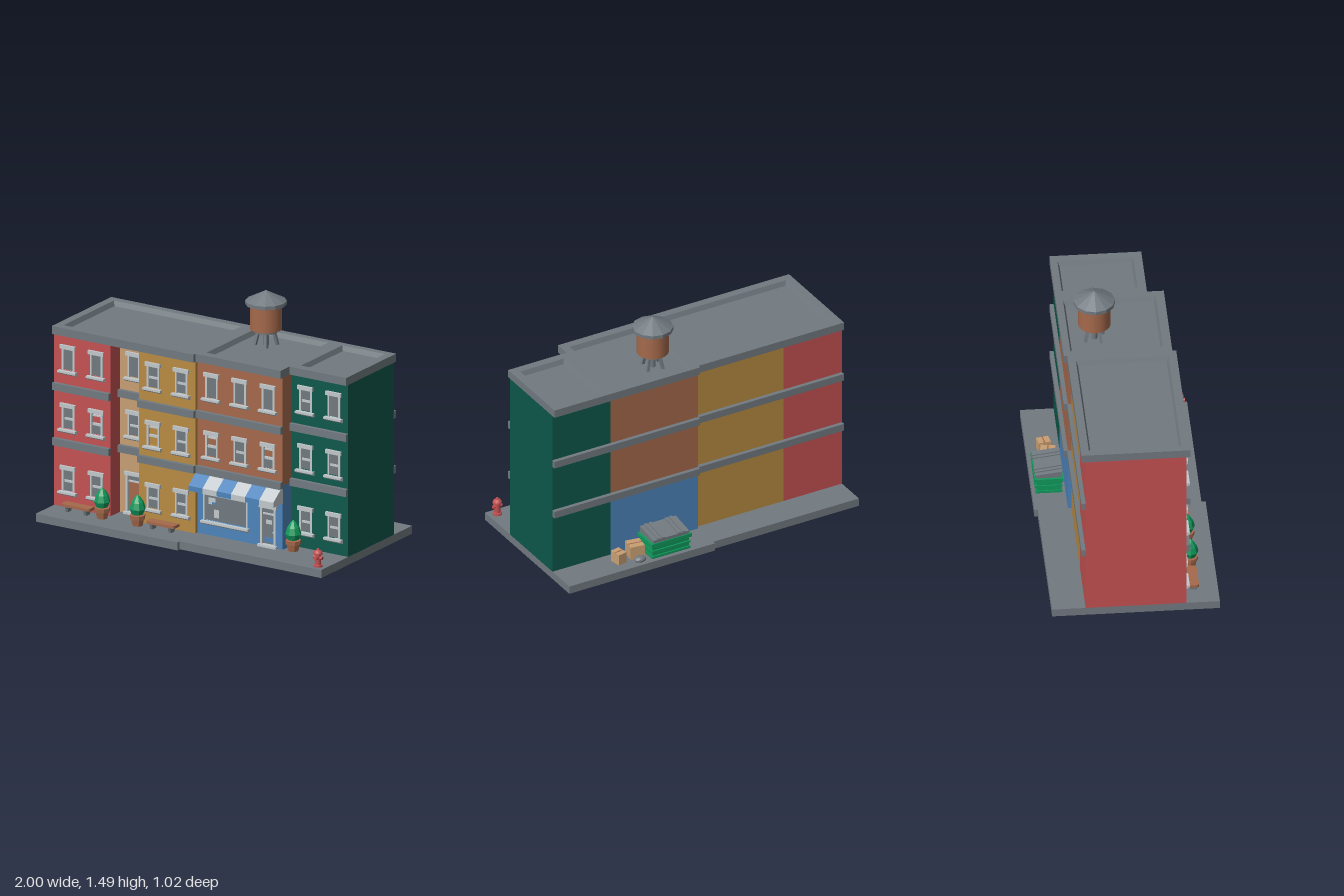
import * as THREE from 'three';
import { toCreasedNormals } from 'three/addons/utils/BufferGeometryUtils.js';

const mat = (name, color) => {
  const m = new THREE.MeshStandardMaterial({ color });
  m.name = name;
  return m;
};

export function createModel() {
  const grey = mat('concrete grey', 0x727a80), light = mat('trim light grey', 0xc2c9cc);
  const red = mat('red', 0xc45152), tan = mat('tan', 0xc79f73), ochre = mat('ochre', 0xb88a42);
  const brown = mat('brown', 0xa5694b), green = mat('dark green', 0x0d574a);
  const blue = mat('blue', 0x4d84bb), leaf = mat('leaf green', 0x109a5c);

  const model = new THREE.Group();
  model.name = 'cornerBuildings';
  const group = (name, x = 0, y = 0, z = 0, parent = model) => {
    const g = new THREE.Group();
    g.name = name;
    g.position.set(x, y, z);
    parent.add(g);
    return g;
  };
  const add = (name, geo, m, parent = model, x = 0, y = 0, z = 0) => {
    const mesh = new THREE.Mesh(geo, m);
    mesh.name = name;
    mesh.position.set(x, y, z);
    parent.add(mesh);
    return mesh;
  };
  // box from its limits
  const block = (name, m, x0, x1, y0, y1, z0, z1, parent = model) =>
    add(name, new THREE.BoxGeometry(x1 - x0, y1 - y0, z1 - z0), m, parent,
      (x0 + x1) / 2, (y0 + y1) / 2, (z0 + z1) / 2);
  // z-y profile extruded along x, centred on x
  const prism = (profile, width) => {
    const shape = new THREE.Shape(profile.map(p => new THREE.Vector2(...p)));
    return new THREE.ExtrudeGeometry(shape, { depth: width, bevelEnabled: false })
      .rotateY(-Math.PI / 2).translate(width / 2, 0, 0);
  };
  const lathe = (pts, sides, crease = 0.1) => toCreasedNormals(
    new THREE.LatheGeometry(pts.map(p => new THREE.Vector2(...p)), sides), crease);

  // pavement
  block('leftPavement', grey, -1, 0, 0, 0.05, -0.49, 0.51);
  block('rightPavement', grey, 0, 1, 0, 0.05, -0.51, 0.485);

  // rear building volumes
  const mid = 0.1, top = 1.125;
  block('redRear', red, -1, -0.6, 0.05, top, -0.29, mid);
  block('ochreRear', ochre, -0.6, 0, 0.05, top, -0.29, mid);
  block('shopRear', blue, 0, 0.6, 0.05, 0.45, -0.31, mid);
  block('brownRear', brown, 0, 0.6, 0.45, top, -0.31, mid);
  block('greenRear', green, 0.6, 1, 0.05, top, -0.31, mid);

  // front wall with openings [centre x, bottom y, width, height] and a core behind
  const depth = 0.03;
  const facade = (name, m, x0, x1, y0, y1, z, holes) => {
    const g = group(name);
    const shape = new THREE.Shape([[x0, y0], [x1, y0], [x1, y1], [x0, y1]].map(p => new THREE.Vector2(...p)));
    for (const [x, y, w, h] of holes)
      shape.holes.push(new THREE.Path([[x - w / 2, y], [x - w / 2, y + h], [x + w / 2, y + h], [x + w / 2, y]]
        .map(p => new THREE.Vector2(...p))));
    add('wall', new THREE.ExtrudeGeometry(shape, { depth, bevelEnabled: false }), m, g, 0, 0, z - depth);
    block('core', m, x0, x1, y0, y1, mid, z - depth, g);
  };

  // sash window: f plain, b barred, o upper half open, e fully open
  const sill = w => prism([[-0.01, 0], [0.006, 0], [0.024, 0.012], [0.024, 0.025], [-0.01, 0.025]], w);
  const sillGeo = sill(0.125);
  const sashWindow = (x, y, z, kind) => {
    const g = group('window', x, y, z);
    add('sill', sillGeo, light, g);
    block('header', light, -0.054, 0.054, 0.16, 0.185, -0.01, 0.014, g);
    for (const s of [-1, 1])
      add('jamb', new THREE.BoxGeometry(0.013, 0.135, 0.02), light, g, s * 0.0385, 0.0925, -0.006);
    if (kind !== 'f') block('sashBar', light, -0.035, 0.035, 0.08, 0.094, -0.02, -0.006, g);
    if (kind === 'o' || kind === 'e') block('topRail', light, -0.035, 0.035, 0.137, 0.146, -0.02, -0.006, g);
    if (kind !== 'e') block('glass', grey, -0.035, 0.035, 0.025, kind === 'o' ? 0.085 : 0.16, -0.02, -0.013, g);
  };

  const rows = [0.125, 0.515, 0.88];
  const sections = [
    ['redFront', red, 0.31, -1, -0.6, 0.05, ['bb', 'bo', 'ff']],
    ['tanFront', tan, 0.21, -0.6, -0.4, 0.05, ['', 'b', 'f']],
    ['ochreFront', ochre, 0.31, -0.4, 0, 0.05, ['bb', 'eb', 'bb']],
    ['brownFront', brown, 0.29, 0, 0.6, 0.45, ['', 'obo', 'fff']],
    ['greenFront', green, 0.19, 0.6, 1, 0.05, ['bb', 'bb', 'bf']],
  ];
  for (const [name, m, z, x0, x1, y0, kinds] of sections) {
    const holes = [];
    kinds.forEach((row, r) => [...row].forEach((kind, i) => {
      const x = x0 + 0.1 + i * 0.2;
      holes.push([x, rows[r] + 0.025, 0.09, 0.135]);
      sashWindow(x, rows[r], z, kind);
    }));
    if (m === tan) holes.push([-0.5, 0.06, 0.1, 0.235]);
    facade(name, m, x0, x1, y0, top, z, holes);
    for (const y of [0.43, 0.775]) block('floorBand', grey, x0, x1, y, y + 0.045, z - 0.005, z + 0.024);
  }
  facade('shopFront', blue, 0, 0.6, 0.05, 0.45, 0.29, [[0.2, 0.14, 0.31, 0.17], [0.5, 0.06, 0.11, 0.235]]);
  for (const y of [0.43, 0.775]) {
    block('rearBand', grey, -1, 0, y, y + 0.045, -0.315, -0.285);
    block('rearBand', grey, 0, 1, y, y + 0.045, -0.335, -0.305);
  }

  // doors
  const door = (name, x, z, m) => {
    const g = group(name, x, 0.05, z);
    block('doorstep', light, -0.065, 0.065, 0, 0.015, -0.02, 0.022, g);
    block('header', light, -0.062, 0.062, 0.243, 0.265, -0.01, 0.014, g);
    for (const s of [-1, 1])
      add('jamb', new THREE.BoxGeometry(0.014, 0.232, 0.024), light, g, s * 0.049, 0.128, -0.006);
    block('transomBar', light, -0.043, 0.043, 0.198, 0.208, -0.024, -0.006, g);
    block('transomGlass', grey, -0.043, 0.043, 0.206, 0.245, -0.022, -0.015, g);
    block('leaf', m, -0.043, 0.043, 0.01, 0.2, -0.025, -0.012, g);
    add('knob', new THREE.SphereGeometry(0.006, 8, 6), m === brown ? grey : light, g, 0.03, 0.09, -0.008);
    return g;
  };
  door('houseDoor', -0.5, 0.21, brown);
  const shopDoor = door('shopDoor', 0.5, 0.29, grey);
  block('doorSign', light, -0.02, 0.02, 0.14, 0.165, -0.012, -0.008, shopDoor);
  block('kickPlate', blue, -0.032, 0.032, 0.025, 0.055, -0.012, -0.008, shopDoor);

  // shop window
  const shop = group('shopWindow', 0.2, 0, 0.29);
  block('glass', grey, -0.15, 0.15, 0.14, 0.31, -0.022, -0.015, shop);
  add('sill', sill(0.335), light, shop, 0, 0.115);
  block('topFrame', light, -0.16, 0.16, 0.3, 0.313, -0.016, 0.006, shop);
  for (const s of [-1, 1])
    add('sideFrame', new THREE.BoxGeometry(0.012, 0.17, 0.022), light, shop, s * 0.152, 0.225, -0.005);
  block('poster', light, -0.13, -0.08, 0.24, 0.28, -0.015, -0.011, shop);
  block('poster', blue, -0.105, -0.08, 0.24, 0.255, -0.011, -0.009, shop);
  block('poster', light, -0.09, -0.055, 0.16, 0.21, -0.015, -0.011, shop);

  // striped awning
  const awning = prism([[0.285, 0.34], [0.39, 0.34], [0.39, 0.372], [0.314, 0.428], [0.285, 0.428]], 0.1);
  for (let i = 0; i < 6; i++) add('awningStripe', awning, i % 2 ? light : blue, model, 0.05 + i * 0.1);

  // roof slabs with a sunken panel, built from rectangular rings
  const ring = (x0, x1, z0, z1, y) => [x0, y, z1, x1, y, z1, x1, y, z0, x0, y, z0];
  const roof = (name, x0, x1, z0, z1, hx0, hx1, hz0, hz1) => {
    const b = 0.012, index = [2, 1, 0, 3, 2, 0, 12, 13, 14, 12, 14, 15];
    for (let r = 0; r < 3; r++)
      for (let j = 0; j < 4; j++) {
        const a = r * 4 + j, c = r * 4 + (j + 1) % 4;
        index.push(a, c, c + 4, a, c + 4, a + 4);
      }
    let geo = new THREE.BufferGeometry();
    geo.setAttribute('position', new THREE.Float32BufferAttribute([
      ...ring(x0, x1, z0, z1, top), ...ring(x0, x1, z0, z1, 1.175),
      ...ring(hx0, hx1, hz0, hz1, 1.175), ...ring(hx0 + b, hx1 - b, hz0 + b, hz1 - b, 1.145)], 3));
    geo.setIndex(index);
    geo = geo.toNonIndexed();
    geo.computeVertexNormals();
    add(name, geo, grey);
  };
  roof('leftRoof', -1, 0, -0.315, 0.335, -0.95, -0.05, -0.267, 0.284);
  roof('middleRoof', 0, 0.6, -0.335, 0.312, 0.045, 0.55, -0.292, 0.26);
  roof('rightRoof', 0.6, 1, -0.335, 0.212, 0.647, 0.948, -0.292, 0.16);

  // water tank
  const tank = group('waterTank', 0.21, 0, -0.135);
  for (let i = 0; i < 4; i++) {
    const a = Math.PI / 4 + i * Math.PI / 2 + 0.2;
    const foot = new THREE.Vector3(Math.cos(a) * 0.068, 1.14, Math.sin(a) * 0.068);
    const head = new THREE.Vector3(Math.cos(a) * 0.045, 1.235, Math.sin(a) * 0.045);
    const leg = add('leg', new THREE.BoxGeometry(0.018, foot.distanceTo(head), 0.018), grey, tank);
    leg.position.lerpVectors(foot, head, 0.5);
    leg.quaternion.setFromUnitVectors(new THREE.Vector3(0, 1, 0), head.clone().sub(foot).normalize());
  }
  add('pipe', new THREE.CylinderGeometry(0.018, 0.018, 0.1, 10), grey, tank, 0, 1.19, 0);
  add('plate', new THREE.CylinderGeometry(0.07, 0.07, 0.022, 12), grey, tank, 0, 1.237, 0);
  add('barrel', new THREE.CylinderGeometry(0.096, 0.096, 0.155, 24), brown, tank, 0, 1.324, 0);
  add('lid', lathe([[0, 1.4], [0.124, 1.4], [0.124, 1.422], [0, 1.487]], 12), grey, tank);

  // benches
  for (const x of [-0.797, -0.2]) {
    const b = group('bench', x, 0.05, 0.365);
    const s = new THREE.Shape();
    s.moveTo(-0.1, 0.03).lineTo(-0.1, -0.01).quadraticCurveTo(-0.1, -0.03, -0.08, -0.03)
      .lineTo(0.08, -0.03).quadraticCurveTo(0.1, -0.03, 0.1, -0.01).lineTo(0.1, 0.03);
    add('seat', new THREE.ExtrudeGeometry(s, { depth: 0.017, bevelEnabled: false, curveSegments: 4 })
      .rotateX(-Math.PI / 2), brown, b, 0, 0.032, 0);
    const leg = prism([[-0.018, 0], [0.018, 0], [0.028, 0.034], [-0.028, 0.034]], 0.018);
    for (const k of [-1, 1]) add('leg', leg, grey, b, k * 0.065);
  }

  // potted shrubs
  for (const [x, z] of [[-0.625, 0.365], [-0.375, 0.365], [0.66, 0.265]]) {
    const p = group('planter', x, 0.05, z);
    add('pot', lathe([[0, 0], [0.032, 0], [0.04, 0.042], [0.046, 0.042], [0.047, 0.066], [0, 0.066]], 8), brown, p);
    add('shrub', lathe([[0, 0.06], [0.036, 0.072], [0.049, 0.105], [0.038, 0.145], [0.018, 0.176], [0, 0.192]], 8), leaf, p);
  }

  // hydrant
  const hydrant = group('hydrant', 0.945, 0.05, 0.435);
  add('body', lathe([[0, 0], [0.028, 0], [0.028, 0.012], [0.019, 0.014], [0.019, 0.074], [0.028, 0.076], [0.028, 0.086],
    [0.021, 0.098], [0.008, 0.104], [0.007, 0.112], [0, 0.112]], 10, 0.7), red, hydrant);
  add('sideCaps', new THREE.CylinderGeometry(0.011, 0.011, 0.062, 8).rotateZ(Math.PI / 2), red, hydrant, 0, 0.055, 0);
  add('frontCap', new THREE.CylinderGeometry(0.012, 0.012, 0.03, 8).rotateX(Math.PI / 2), red, hydrant, 0, 0.055, 0.017);

  // dumpster
  const bin = group('dumpster', 0.288, 0.05, -0.41);
  add('body', prism([[-0.07, 0], [0.075, 0], [0.078, 0.1], [-0.075, 0.1]], 0.25), leaf, bin);
  block('rim', leaf, -0.138, 0.138, 0.085, 0.108, -0.086, 0.085, bin);
  block('waistRib', leaf, -0.131, 0.131, 0.045, 0.058, -0.082, 0.08, bin);
  block('baseRib', leaf, -0.131, 0.131, 0.005, 0.02, -0.08, 0.08, bin);
  add('lid', prism([[-0.08, 0.108], [0.08, 0.108], [0.08, 0.15], [-0.08, 0.128]], 0.245), grey, bin);
  const rib = prism([[-0.082, 0.115], [0.08, 0.115], [0.08, 0.157], [-0.082, 0.135]], 0.02);
  for (const x of [-0.085, -0.055, 0.055, 0.085]) add('lidRib', rib, grey, bin, x);

  // cardboard boxes and refuse bag
  const carton = (x, z, w, h, d, turn) => {
    const c = group('cardboardBox', x, 0.05, z);
    c.rotation.y = turn;
    add('box', new THREE.BoxGeometry(w, h, d), tan, c, 0, h / 2, 0);
    add('tape', new THREE.BoxGeometry(w * 1.01, 0.002, 0.008), brown, c, 0, h, 0);
  };
  carton(0.48, -0.39, 0.09, 0.085, 0.09, -0.15);
  carton(0.6, -0.405, 0.06, 0.07, 0.075, 0.2);
  const bag = add('refuseBag', toCreasedNormals(new THREE.IcosahedronGeometry(0.04, 1), 0.1), grey, model, 0.49, 0.068, -0.468);
  bag.scale.set(1, 0.5, 0.75);

  return model;
}
